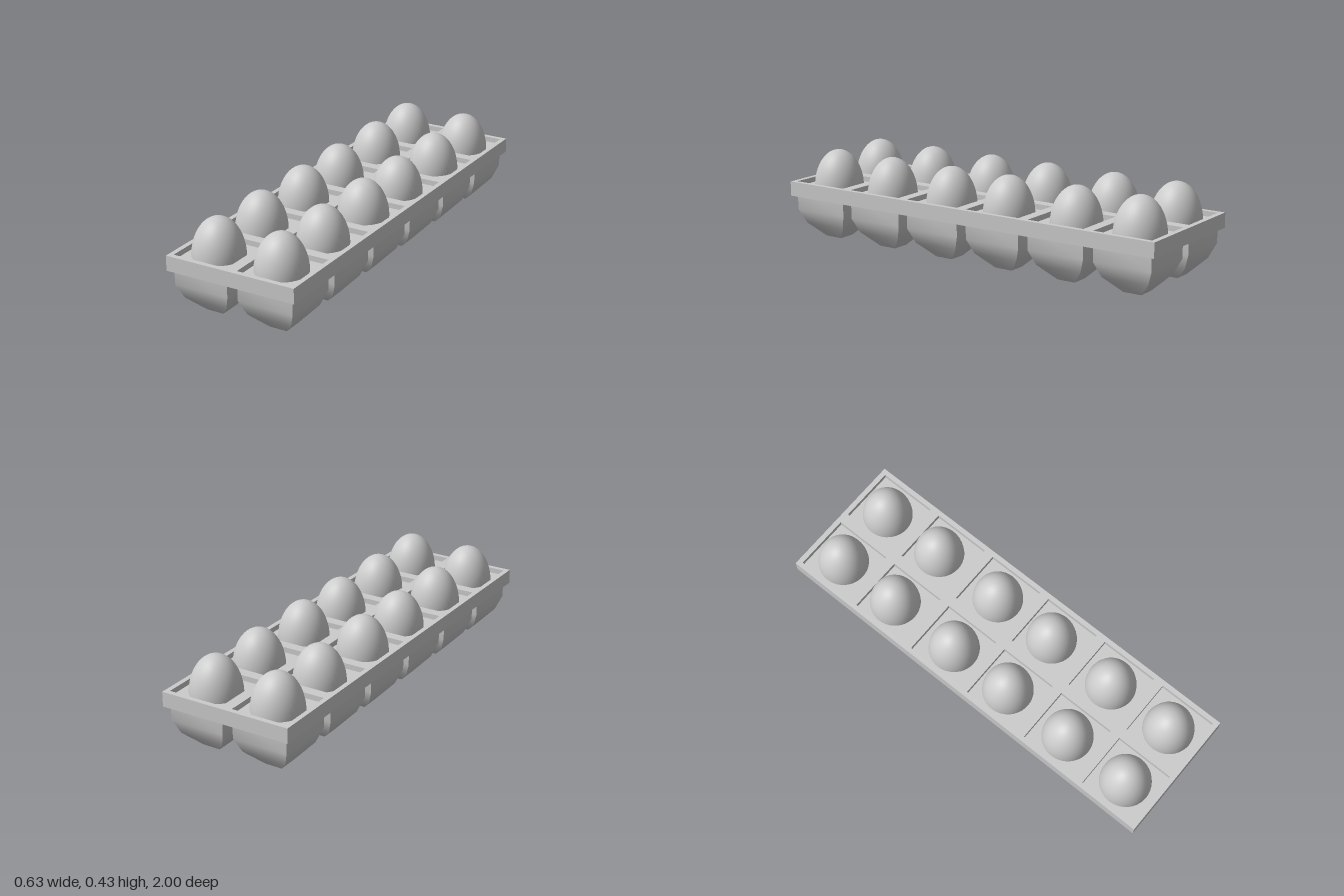
import * as THREE from 'three';
import { toCreasedNormals } from 'three/addons/utils/BufferGeometryUtils.js';

const material = new THREE.MeshStandardMaterial({ color: 0xcccccc });

// cup centres and half sizes
const cupX = [-0.16, 0.16];
const cupZ = [-0.834, -0.5, -0.167, 0.167, 0.5, 0.834];
const HALF_X = 0.134, HALF_Z = 0.142;

// egg centres are slightly uneven, as if placed by hand
const eggX = [-0.162, 0.153];
const eggZ = [-0.839, -0.52, -0.163, 0.156, 0.503, 0.833];

const TRAY_TOP = 0.275, TRAY_BOTTOM = 0.205, CUP_FLOOR = 0.25;

// flat tray with a rectangular opening over each cup
function trayGeometry() {
  const rect = (target, x, z, hx, hz) => {
    target.moveTo(x - hx, z - hz);
    target.lineTo(x + hx, z - hz);
    target.lineTo(x + hx, z + hz);
    target.lineTo(x - hx, z + hz);
    target.closePath();
    return target;
  };
  const shape = rect(new THREE.Shape(), 0, 0, 0.317, 1);
  for (const x of cupX) for (const z of cupZ) shape.holes.push(rect(new THREE.Path(), x, z, HALF_X, HALF_Z));
  return new THREE.ExtrudeGeometry(shape, { depth: TRAY_TOP - TRAY_BOTTOM, bevelEnabled: false })
    .rotateX(Math.PI / 2)
    .translate(0, TRAY_TOP, 0);
}

// four-sided tapering cup, closed by a shallow floor inside the tray opening
function cupGeometry() {
  const profile = [[0, 0], [0.042, 0], [0.107, 0.07], [HALF_X, 0.137], [HALF_X, CUP_FLOOR], [0, CUP_FLOOR]]
    .map(([r, y]) => new THREE.Vector2(r * Math.SQRT2, y));
  const geometry = new THREE.LatheGeometry(profile, 4)
    .rotateY(Math.PI / 4)
    .scale(1, 1, HALF_Z / HALF_X);
  return toCreasedNormals(geometry, 0.6);
}

// egg: taller above its widest ring than below
function eggGeometry() {
  const profile = [];
  for (let i = 0; i <= 32; i++) {
    const a = -Math.PI / 2 + (Math.PI * i) / 32;
    const height = a > 0 ? 0.18 : 0.13;
    profile.push(new THREE.Vector2(Math.max(0, 0.118 * Math.cos(a)), 0.245 + height * Math.sin(a)));
  }
  return new THREE.LatheGeometry(profile, 40);
}

export function createModel() {
  const model = new THREE.Group();
  model.name = 'eggTray';
  const add = (name, geometry, x = 0, z = 0) => {
    const mesh = new THREE.Mesh(geometry, material);
    mesh.name = name;
    mesh.position.set(x, 0, z);
    model.add(mesh);
  };

  add('tray', trayGeometry());

  const cup = cupGeometry();
  const egg = eggGeometry();
  for (let c = 0; c < cupX.length; c++) {
    for (let r = 0; r < cupZ.length; r++) {
      add('cup', cup, cupX[c], cupZ[r]);
      add('egg', egg, eggX[c], eggZ[r]);
    }
  }
  return model;
}
